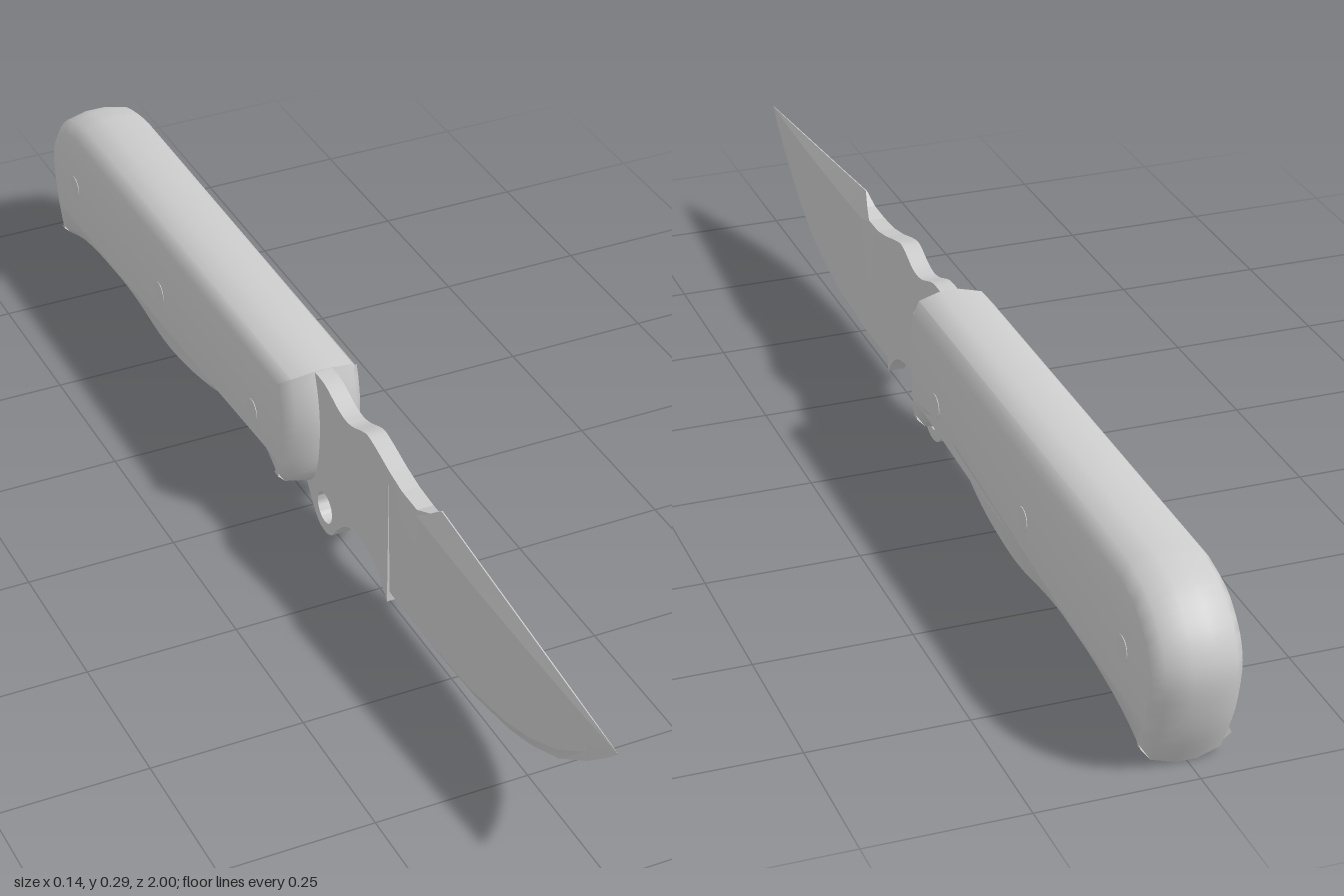
import * as THREE from 'three';
import { toCreasedNormals } from 'three/addons/utils/BufferGeometryUtils.js';

const HALF_BLADE = 0.015;
const HALF_HANDLE = 0.069;
const steel = new THREE.MeshStandardMaterial({ color: 0xcccccc });
const grip = new THREE.MeshStandardMaterial({ color: 0xcccccc });

const vectors = (points) => points.map(([z, y]) => new THREE.Vector2(z, y));

// Smooth curve through a few (z, y) points
const smooth = (points, n) => new THREE.SplineCurve(vectors(points)).getPoints(n);

// Extrudes a side profile drawn in (z, y), centred on x = 0
function extrudeSideways(shape, options, width, crease) {
  const geometry = new THREE.ExtrudeGeometry(shape, options);
  geometry.translate(0, 0, -options.depth / 2);
  geometry.rotateY(-Math.PI / 2);
  return toCreasedNormals(geometry, crease);
}

function addMesh(group, name, geometry, material) {
  const mesh = new THREE.Mesh(geometry, material);
  mesh.name = name;
  group.add(mesh);
  return mesh;
}

// Grip with rounded long edges, finger swell and dropped heel
function handleGeometry() {
  const underside = smooth([
    [0.005, 0.06], [-0.045, 0.09], [-0.11, 0.109], [-0.18, 0.1], [-0.286, 0.063],
    [-0.377, 0.046], [-0.47, 0.041], [-0.59, 0.054], [-0.69, 0.055], [-0.79, 0.045],
    [-0.875, 0.029], [-0.95, 0.003],
  ], 48);
  const butt = smooth([
    [-0.95, 0.003], [-0.982, 0.07], [-1, 0.15], [-0.992, 0.2], [-0.965, 0.24],
    [-0.92, 0.273], [-0.85, 0.291],
  ], 18);
  const front = smooth([
    [0.036, 0.291], [0.05, 0.245], [0.056, 0.19], [0.048, 0.12], [0.03, 0.08], [0.005, 0.06],
  ], 14);
  const shape = new THREE.Shape([...underside, ...butt.slice(1), ...front.slice(0, -1)]);
  return extrudeSideways(shape, {
    depth: 0.032, bevelEnabled: true, bevelSegments: 2,
    bevelThickness: HALF_HANDLE - 0.016, bevelSize: 0.027, bevelOffset: 0,
    ...{ bevelOffset: -0.027 },
  }, HALF_HANDLE, 0.76);
}

// Flat base of the blade: thumb notch, finger choil, lanyard hole and hidden tang
function ricassoGeometry() {
  const spine = smooth([
    [0.305, 0.272], [0.25, 0.287], [0.22, 0.289], [0.17, 0.271], [0.13, 0.271],
    [0.075, 0.289], [0.03, 0.29],
  ], 24);
  const choil = smooth([
    [0.0, 0.07], [0.04, 0.018], [0.07, 0.004], [0.1, 0.011], [0.125, 0.04],
    [0.16, 0.068], [0.2, 0.078], [0.25, 0.068], [0.28, 0.048], [0.305, 0.02],
  ], 32);
  const shape = new THREE.Shape([...spine, ...vectors([[-0.05, 0.27], [-0.05, 0.12]]), ...choil]);
  const hole = new THREE.Path();
  hole.absarc(0.075, 0.05, 0.027, 0, Math.PI * 2, true);
  shape.holes.push(hole);
  return extrudeSideways(shape, {
    depth: HALF_BLADE * 2, bevelEnabled: false, curveSegments: 16,
  }, HALF_BLADE, 0.5);
}

// Ground blade lofted along z: spine, swedge ridge, flat, cutting edge
function bladeGeometry() {
  // z, spine y, spine half width, ridge y, ridge half width, edge y
  const stations = [
    [0.305, 0.272, 0.015, 0.252, 0.015, 0.02],
    [0.35, 0.263, 0.015, 0.252, 0.015, 0.02],
    [0.4, 0.261, 0.014, 0.25, 0.015, 0.02],
    [0.43, 0.272, 0.007, 0.249, 0.0148, 0.02],
    [0.455, 0.291, 0.001, 0.248, 0.0145, 0.02],
    [0.58, 0.278, 0.001, 0.245, 0.0135, 0.027],
    [0.69, 0.267, 0.001, 0.243, 0.0115, 0.046],
    [0.76, 0.26, 0.001, 0.241, 0.0095, 0.068],
    [0.84, 0.252, 0.001, 0.239, 0.007, 0.105],
    [0.92, 0.244, 0.0008, 0.237, 0.004, 0.162],
    [0.97, 0.239, 0.0005, 0.236, 0.0015, 0.206],
    [1, 0.236, 0.0001, 0.2355, 0.0001, 0.235],
  ];
  const rings = stations.map(([z, top, t, ridge, w, bottom]) => {
    const half = [
      [t, top], [w, ridge],
      [w * 0.72, Math.min(bottom + 0.018, (bottom + ridge) / 2)],
      [Math.min(0.0005, w), bottom],
    ];
    const mirrored = half.map(([x, y]) => [-x, y]).reverse();
    return [...half, ...mirrored].map(([x, y]) => [x, y, z]);
  });
  const positions = [];
  for (let i = 0; i < rings.length - 1; i++) {
    for (let j = 0; j < 8; j++) {
      const k = (j + 1) % 8;
      const a = rings[i][j], b = rings[i][k], c = rings[i + 1][k], d = rings[i + 1][j];
      positions.push(...a, ...d, ...c, ...a, ...c, ...b);
    }
  }
  const geometry = new THREE.BufferGeometry();
  geometry.setAttribute('position', new THREE.Float32BufferAttribute(positions, 3));
  return toCreasedNormals(geometry, 0.15);
}

export function createModel() {
  const knife = new THREE.Group();
  knife.name = 'knife';
  addMesh(knife, 'blade', bladeGeometry(), steel);
  addMesh(knife, 'ricasso', ricassoGeometry(), steel);
  addMesh(knife, 'handle', handleGeometry(), grip);

  // Pins through the handle, all but flush with its sides
  const pinGeometry = new THREE.CylinderGeometry(0.02, 0.02, HALF_HANDLE * 2 + 0.002, 24);
  pinGeometry.rotateZ(Math.PI / 2);
  [-0.09, -0.48, -0.87].forEach((z) => {
    addMesh(knife, 'handlePin', pinGeometry, steel).position.set(0, 0.155, z);
  });
  return knife;
}
